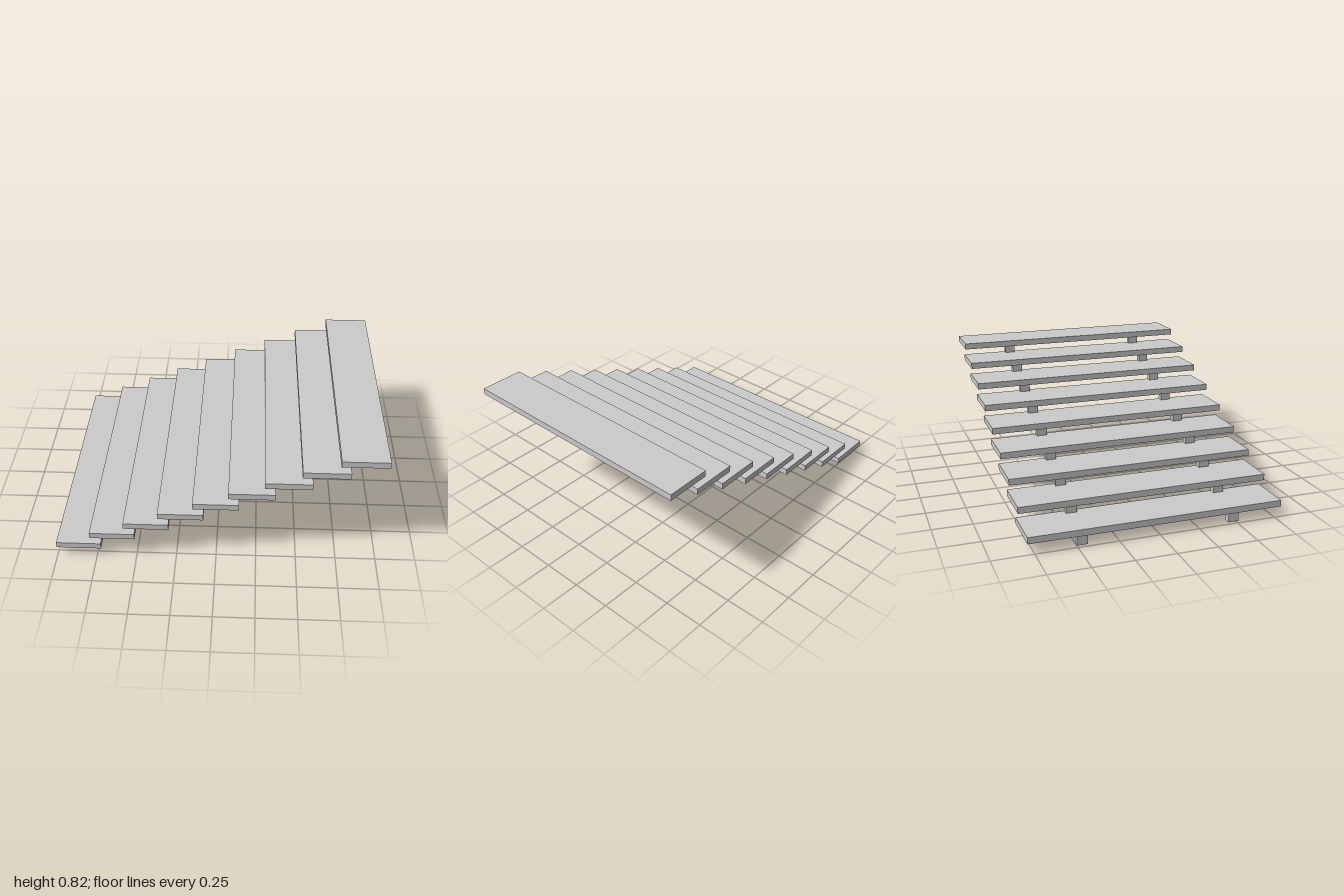
import * as THREE from 'three';

const STEPS = 9;
const RUN = 0.215, RISE = 0.0895;
const TREAD = { width: 0.28, thickness: 0.04, depth: 1.58 };
const LEG = { width: 0.038, height: 0.066, depth: 0.066 };

// Four-walled post, open at top and bottom
function openPost(w, h, d) {
  const geometry = new THREE.BoxGeometry(w, h, d);
  const index = Array.from(geometry.index.array);
  geometry.setIndex([...index.slice(0, 12), ...index.slice(24)]);
  geometry.clearGroups();
  return geometry;
}

export function createModel() {
  const stairs = new THREE.Group();
  stairs.name = 'stairs';
  const material = new THREE.MeshStandardMaterial({ color: 0xcccccc, flatShading: true });
  const postMaterial = new THREE.MeshStandardMaterial({
    color: 0xcccccc, flatShading: true, side: THREE.DoubleSide,
  });
  const treadGeometry = new THREE.BoxGeometry(TREAD.width, TREAD.thickness, TREAD.depth);
  const legGeometry = openPost(LEG.width, LEG.height, LEG.depth);

  for (let i = 0; i < STEPS; i++) {
    const step = new THREE.Group();
    step.name = `step${i + 1}`;
    step.position.set(-1 + i * RUN, i * RISE, 0);

    // Plank
    const tread = new THREE.Mesh(treadGeometry, material);
    tread.name = 'tread';
    tread.position.set(TREAD.width / 2, LEG.height + TREAD.thickness / 2, 0);
    step.add(tread);

    // Two short posts under the plank's lower edge
    for (const [name, z] of [['leftLeg', 0.485], ['rightLeg', -0.465]]) {
      const leg = new THREE.Mesh(legGeometry, postMaterial);
      leg.name = name;
      leg.position.set(0.043, LEG.height / 2, z);
      step.add(leg);
    }
    stairs.add(step);
  }
  return stairs;
}
